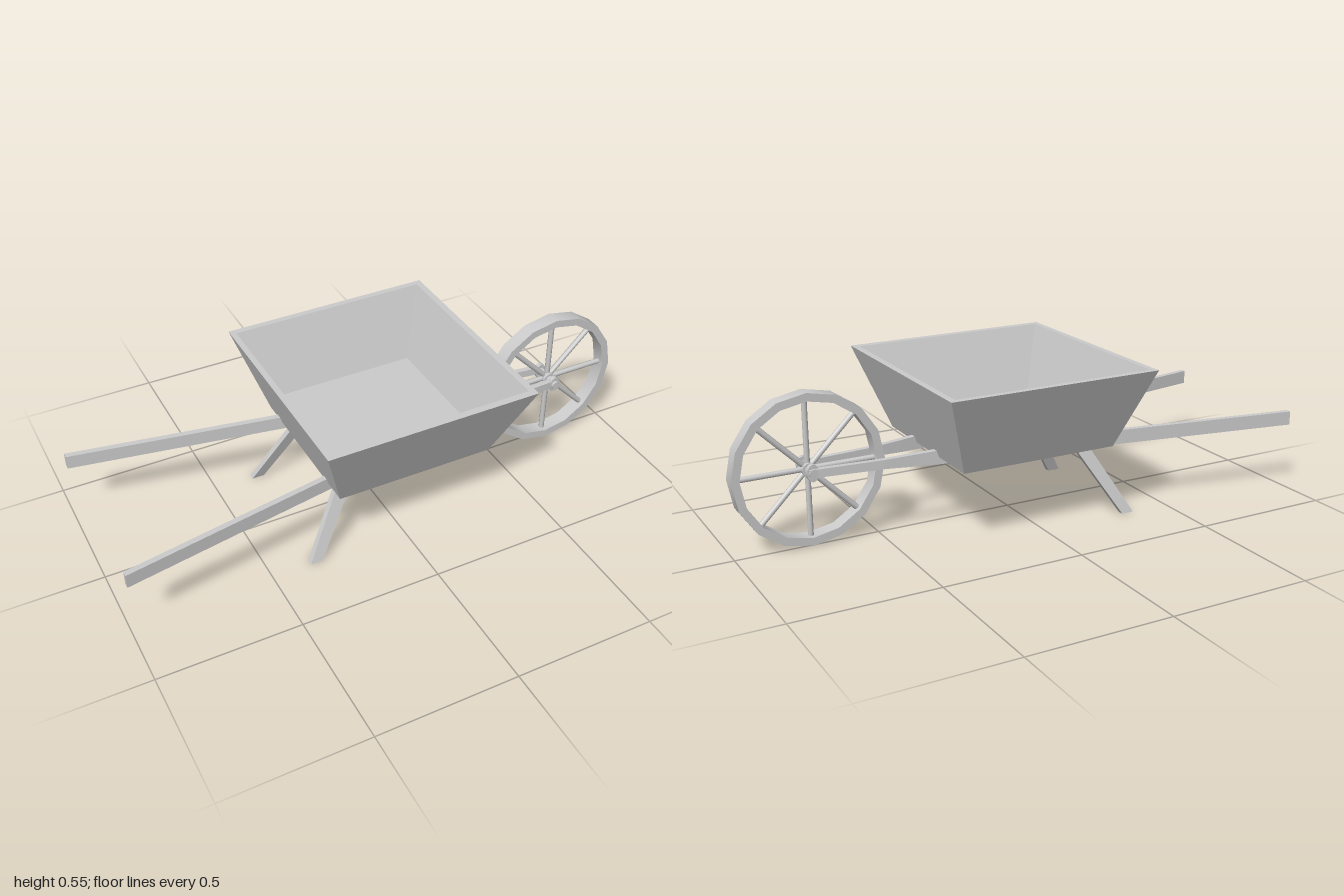
import * as THREE from 'three';
import { toCreasedNormals } from 'three/addons/utils/BufferGeometryUtils.js';

const material = new THREE.MeshStandardMaterial({ color: 0xcccccc });

function add(parent, name, geometry) {
  const mesh = new THREE.Mesh(geometry, material);
  mesh.name = name;
  parent.add(mesh);
  return mesh;
}

// Joins four-cornered sections into a closed, flat-sided solid
function loft(sections) {
  const pos = [];
  const quad = (a, b, c, d) => pos.push(...a, ...b, ...c, ...a, ...c, ...d);
  for (let i = 0; i < sections.length - 1; i++) {
    const s = sections[i], t = sections[i + 1];
    for (let j = 0; j < 4; j++) {
      const k = (j + 1) % 4;
      quad(s[j], s[k], t[k], t[j]);
    }
  }
  const first = sections[0], last = sections[sections.length - 1];
  quad(first[3], first[2], first[1], first[0]);
  quad(last[0], last[1], last[2], last[3]);
  const geometry = new THREE.BufferGeometry();
  geometry.setAttribute('position', new THREE.Float32BufferAttribute(pos, 3));
  geometry.computeVertexNormals();
  return geometry;
}

// Horizontal section at height y
const level = (y, x0, x1, z0, z1) => [[x0, y, z1], [x1, y, z1], [x1, y, z0], [x0, y, z0]];
// Upright section at x, centred on z
const upright = (x, y0, y1, z, w) =>
  [[x, y0, z + w / 2], [x, y0, z - w / 2], [x, y1, z - w / 2], [x, y1, z + w / 2]];

function createWheel() {
  const wheel = new THREE.Group();
  wheel.name = 'wheel';
  wheel.position.set(0.736, 0.266, 0.01);

  // Rim with sixteen sides
  const ro = 0.262, ri = 0.234, w = 0.027;
  const profile = [[ri, -w], [ro, -w], [ro, w], [ri, w], [ri, -w]]
    .map(([x, y]) => new THREE.Vector2(x, y));
  const rim = new THREE.LatheGeometry(profile, 16).rotateX(Math.PI / 2);
  add(wheel, 'rim', toCreasedNormals(rim, 0.6));

  // Eight spokes
  for (let i = 0; i < 8; i++) {
    const spoke = new THREE.CylinderGeometry(0.01, 0.01, 0.225, 8);
    spoke.translate(0, 0.126, 0).rotateZ(i * Math.PI / 4);
    add(wheel, 'spoke', spoke);
  }

  // Hub, axle and end collars
  const disc = (name, r, length, z) =>
    add(wheel, name, new THREE.CylinderGeometry(r, r, length, 12).rotateX(Math.PI / 2).translate(0, 0, z));
  disc('hub', 0.024, 0.04, 0);
  disc('axle', 0.016, 0.13, 0);
  for (const side of [-1, 1]) {
    disc('collar', 0.03, 0.017, side * 0.047).scale.x = 0.7;
  }
  return wheel;
}

export function createModel() {
  const model = new THREE.Group();
  model.name = 'wheelbarrow';

  // Hollow tray with sloping walls
  add(model, 'tray', loft([
    level(0.267, -0.255, 0.315, -0.285, 0.281),
    level(0.551, -0.35, 0.415, -0.404, 0.402),
    level(0.551, -0.329, 0.392, -0.382, 0.376),
    level(0.305, -0.238, 0.305, -0.287, 0.278),
  ]));

  for (const side of [-1, 1]) {
    const z = (d) => side * d - 0.003;

    // Shaft: straight handle, then a bent and tapered fork to the axle
    add(model, 'shaft', loft([
      upright(-1, 0.242, 0.292, z(0.32), 0.021),
      upright(0.3, 0.242, 0.292, z(0.09), 0.021),
      upright(0.38, 0.245, 0.288, z(0.08), 0.021),
      upright(0.5, 0.251, 0.283, z(0.068), 0.02),
      upright(0.75, 0.253, 0.28, side * 0.047 + 0.005, 0.02),
    ]));

    // Splayed leg
    const zt = z(0.176), zb = z(0.254);
    add(model, 'leg', loft([
      level(0, -0.36, -0.315, zb - 0.011, zb + 0.011),
      level(0.25, -0.215, -0.16, zt - 0.011, zt + 0.011),
    ]));
  }

  model.add(createWheel());
  return model;
}
